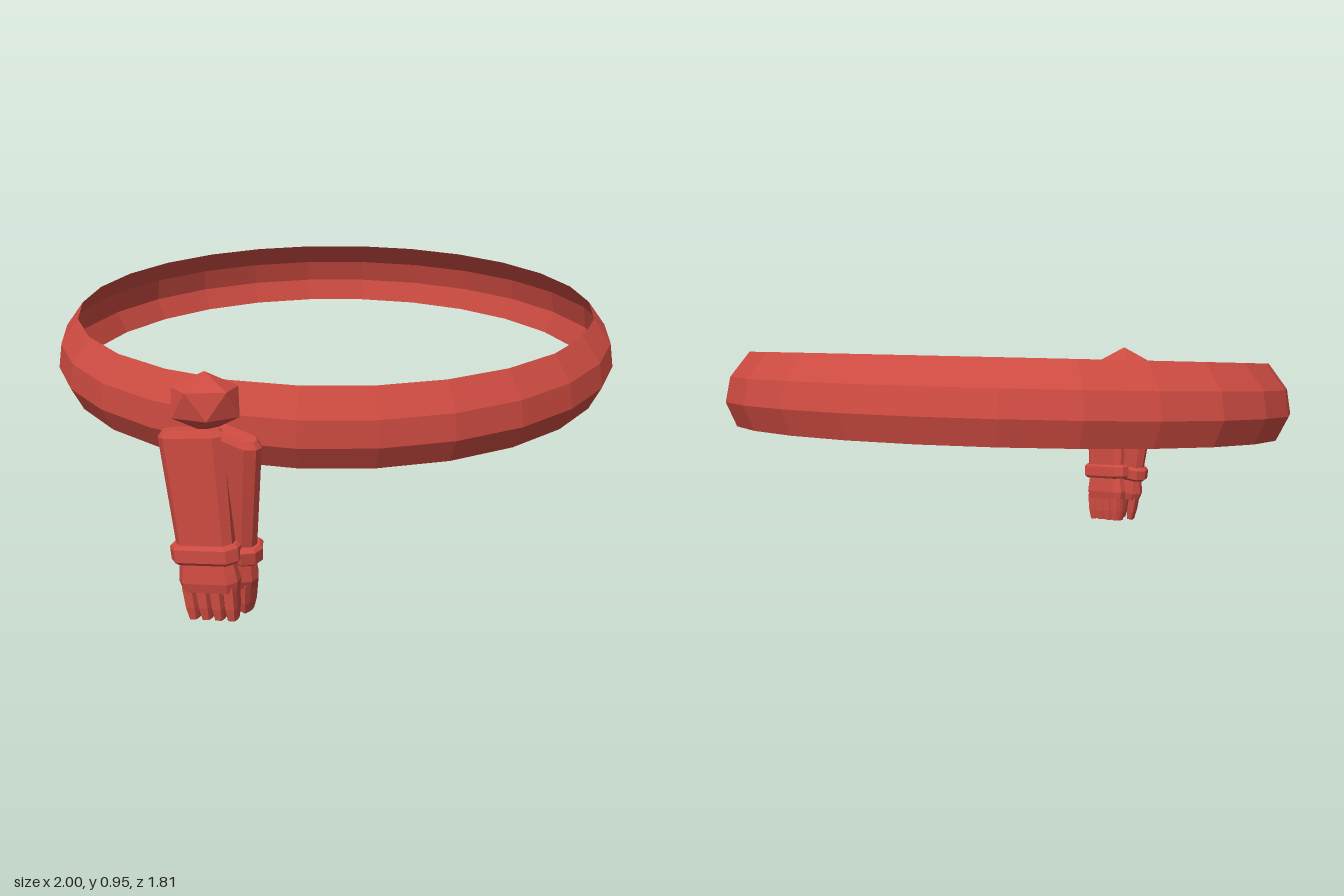
import * as THREE from 'three';

const red = new THREE.MeshStandardMaterial({ color: 0xcd4b41, flatShading: true, side: THREE.DoubleSide });

function add(parent, geometry, name) {
  const mesh = new THREE.Mesh(geometry, red);
  mesh.name = name;
  parent.add(mesh);
  return mesh;
}

// Closed loft through chamfered flat sections, listed top to bottom as [y, half width, half depth]
function loft(sections) {
  const outline = [[1, 0.35], [0.75, 1], [-0.75, 1], [-1, 0.35], [-1, -0.35], [-0.75, -1], [0.75, -1], [1, -0.35]];
  const n = outline.length;
  const positions = [], index = [];
  for (const [y, w, d] of sections) {
    for (const [u, v] of outline) positions.push(u * w, y, v * d);
  }
  for (let s = 0; s < sections.length - 1; s++) {
    for (let i = 0; i < n; i++) {
      const a = s * n + i, b = s * n + (i + 1) % n;
      index.push(a, b, a + n, b, b + n, a + n);
    }
  }
  const last = (sections.length - 1) * n;
  for (let i = 1; i < n - 1; i++) {
    index.push(0, i + 1, i, last, last + i, last + i + 1);
  }
  // Reverse the winding so that the faces point outward
  for (let i = 0; i < index.length; i += 3) [index[i + 1], index[i + 2]] = [index[i + 2], index[i + 1]];
  const g = new THREE.BufferGeometry();
  g.setAttribute('position', new THREE.Float32BufferAttribute(positions, 3));
  g.setIndex(index);
  g.computeVertexNormals();
  return g;
}

// Hanging belt end: strap, cuff, flared end and four fringe strands
function makeTassel(name) {
  const tassel = new THREE.Group();
  tassel.name = name;
  add(tassel, loft([[0, 0.09, 0.025], [-0.02, 0.105, 0.035], [-0.38, 0.09, 0.034]]), 'strap');
  add(tassel, loft([[-0.35, 0.1, 0.042], [-0.36, 0.11, 0.05], [-0.4, 0.11, 0.05], [-0.41, 0.1, 0.042]]), 'cuff');
  add(tassel, loft([[-0.4, 0.085, 0.034], [-0.47, 0.096, 0.042], [-0.5, 0.088, 0.036]]), 'tasselEnd');
  for (let i = 0; i < 4; i++) {
    const t = i - 1.5;
    const strand = add(tassel, loft([[0, 0.02, 0.03], [-0.07, 0.019, 0.028], [-0.11, 0.014, 0.022]]), 'fringeStrand');
    strand.position.set(t * 0.045, -0.485, 0);
    strand.rotation.z = t * -0.03;
  }
  return tassel;
}

export function createModel() {
  const model = new THREE.Group();
  model.name = 'belt';

  // Tilted oval band with a bulging profile
  const profile = [[0.962, -0.126], [1, -0.045], [0.985, 0.04], [0.92, 0.126]]
    .map(([r, y]) => new THREE.Vector2(r, y));
  const band = add(model, new THREE.LatheGeometry(profile, 26, Math.PI / 26, Math.PI * 2), 'beltBand');
  band.scale.z = 0.872;
  band.position.set(0, 0.718, -0.035);
  band.rotation.x = 0.143;

  // Faceted knot, one corner straight up
  const knotShape = new THREE.IcosahedronGeometry(1, 0);
  knotShape.rotateZ(Math.atan(2 / (1 + Math.sqrt(5))));
  knotShape.rotateY(-Math.PI / 2 + 0.1);
  const knot = add(model, knotShape, 'knot');
  knot.scale.set(0.115, 0.092, 0.08);
  knot.position.set(-0.382, 0.69, 0.808);

  // Two hanging ends below the knot
  const outer = makeTassel('outerBeltEnd');
  outer.position.set(-0.425, 0.61, 0.81);
  outer.rotation.set(-0.03, -0.3, 0.09, 'XZY');
  const inner = makeTassel('innerBeltEnd');
  inner.position.set(-0.305, 0.61, 0.84);
  inner.rotation.set(0.18, -0.65, -0.04, 'XZY');
  model.add(outer, inner);

  return model;
}
